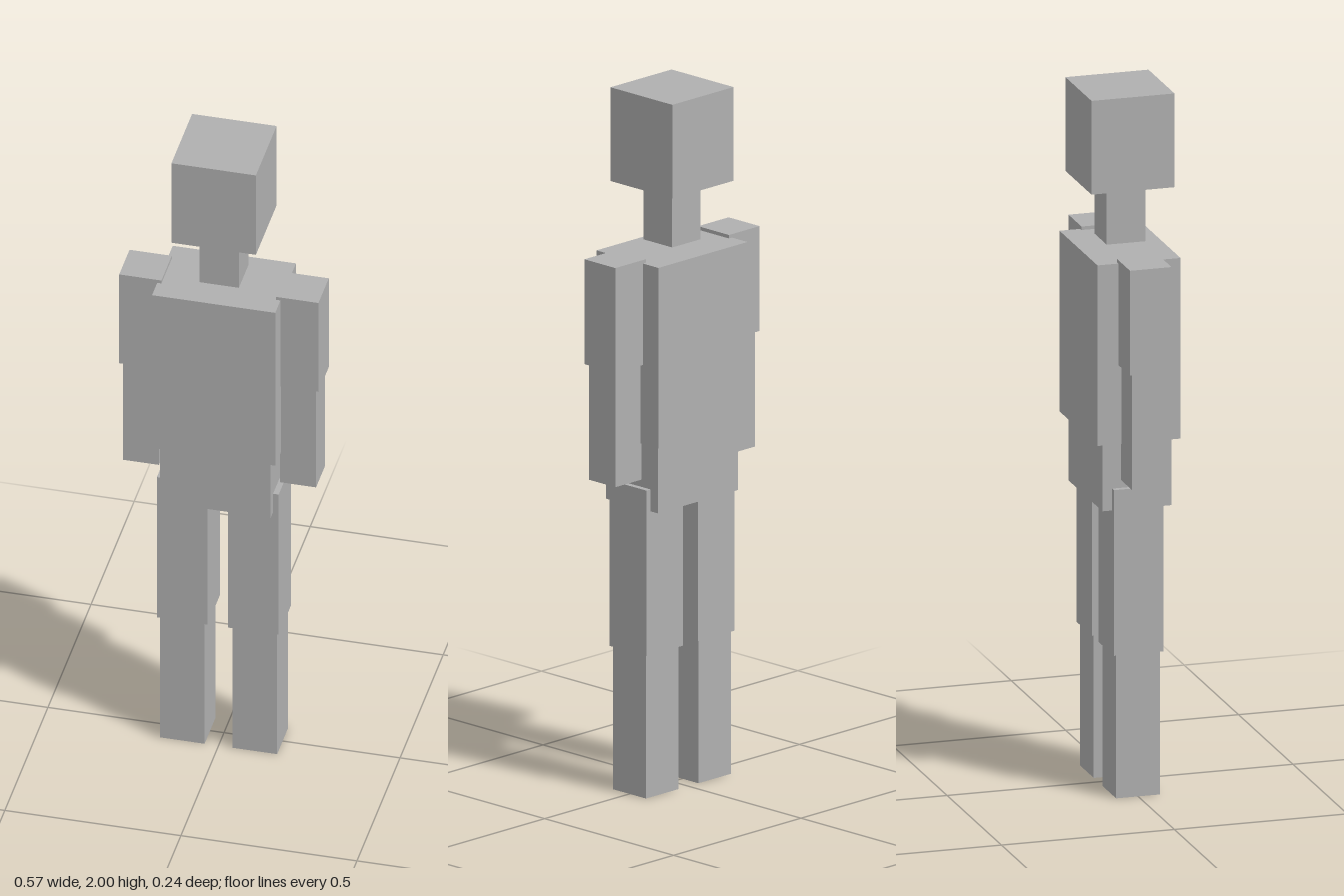
import * as THREE from 'three';

export function createModel() {
  const model = new THREE.Group();
  model.name = 'blockFigure';
  const grey = new THREE.MeshStandardMaterial({ color: 0xb0b0b0 });
  grey.name = 'plain grey';

  // Box centred at x, spanning bottom to top, centred on z = 0
  function block(name, parent, x, bottom, top, width, depth) {
    const mesh = new THREE.Mesh(new THREE.BoxGeometry(width, top - bottom, depth), grey);
    mesh.name = name;
    mesh.position.set(x, (bottom + top) / 2, 0);
    parent.add(mesh);
  }

  // Head and trunk
  block('head', model, 0, 1.73, 2, 0.24, 0.24);
  block('neck', model, 0, 1.562, 1.73, 0.112, 0.112);
  block('chest', model, 0, 1.022, 1.542, 0.35, 0.24);
  block('pelvis', model, 0, 0.827, 1.022, 0.314, 0.2);

  // Limbs, mirrored left (+x) and right (-x)
  for (const [side, s] of [['left', 1], ['right', -1]]) {
    const arm = new THREE.Group();
    arm.name = side + 'Arm';
    block(side + 'UpperArm', arm, s * 0.223, 1.25, 1.552, 0.12, 0.12);
    block(side + 'Forearm', arm, s * 0.223, 0.917, 1.25, 0.102, 0.102);

    const leg = new THREE.Group();
    leg.name = side + 'Leg';
    block(side + 'Thigh', leg, s * 0.101, 0.413, 0.89, 0.144, 0.144);
    block(side + 'Shin', leg, s * 0.103, 0, 0.413, 0.127, 0.127);

    model.add(arm, leg);
  }
  return model;
}
